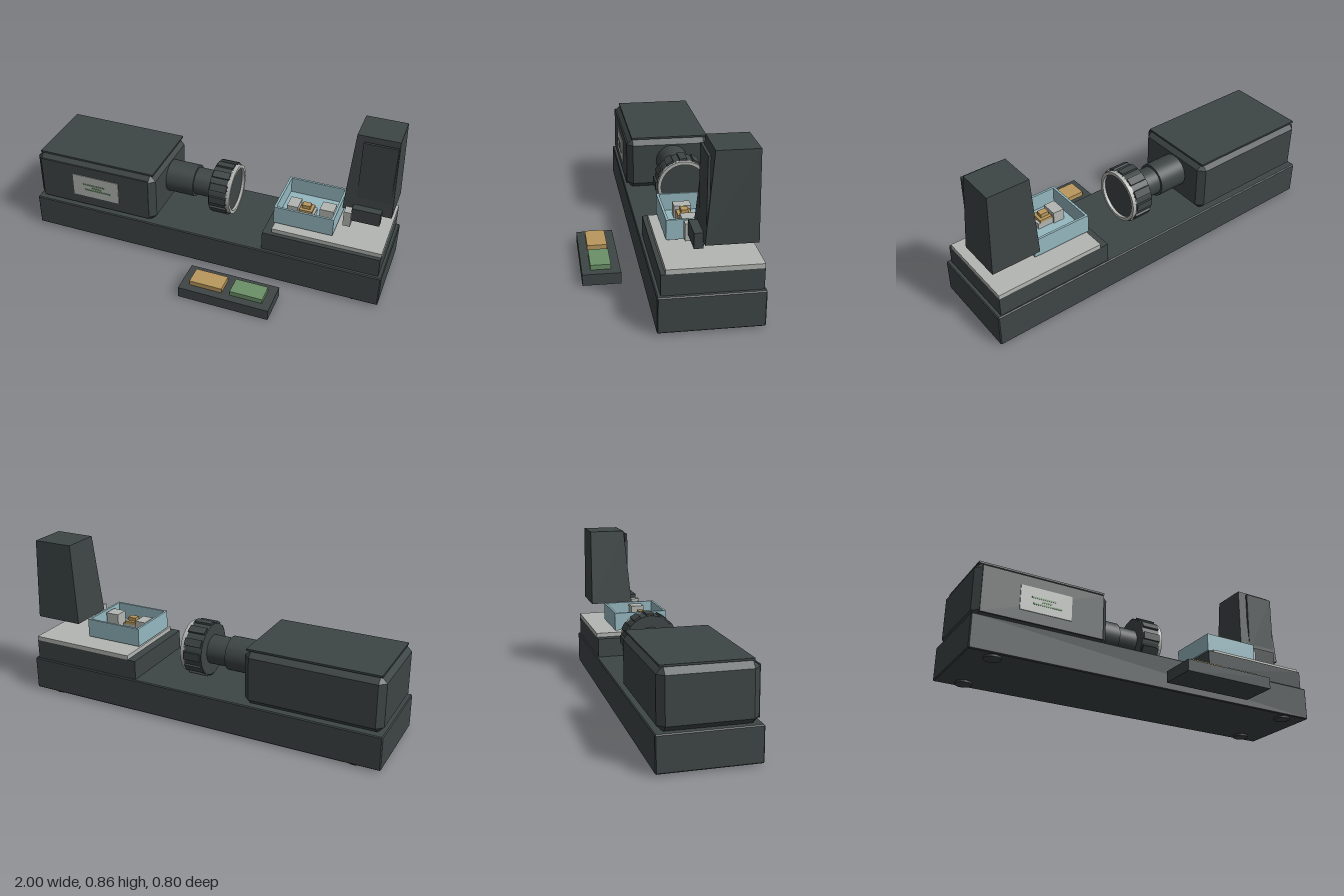
import * as THREE from 'three';
import { ConvexGeometry } from 'three/addons/geometries/ConvexGeometry.js';

const paint = (name, color) => {
  const m = new THREE.MeshStandardMaterial({ color });
  m.name = name;
  return m;
};

export function createModel() {
  const dark = paint('charcoal', 0x3e4545);
  const light = paint('light grey', 0xb3b6b2);
  const blue = paint('pale blue', 0x95b8c0);
  const orange = paint('amber', 0xb9985d);
  const green = paint('green', 0x6b9168);
  const root = new THREE.Group();
  root.name = 'benchInstrument';

  const add = (name, geo, mat, parent = root) => {
    const mesh = new THREE.Mesh(geo, mat);
    mesh.name = name;
    parent.add(mesh);
    return mesh;
  };
  const group = (name) => {
    const g = new THREE.Group();
    g.name = name;
    root.add(g);
    return g;
  };
  // Box given by its extents on each axis
  const box = (name, mat, [x0, x1], [y0, y1], [z0, z1], parent) => {
    const geo = new THREE.BoxGeometry(x1 - x0, y1 - y0, z1 - z0);
    geo.translate((x0 + x1) / 2, (y0 + y1) / 2, (z0 + z1) / 2);
    return add(name, geo, mat, parent);
  };
  // Box with all edges cut off by c
  const chamferBox = (name, mat, [x0, x1], [y0, y1], [z0, z1], c, parent) => {
    const h = [(x1 - x0) / 2, (y1 - y0) / 2, (z1 - z0) / 2];
    const pts = [];
    for (const sx of [-1, 1]) for (const sy of [-1, 1]) for (const sz of [-1, 1])
      for (let full = 0; full < 3; full++) {
        const p = [sx, sy, sz].map((s, i) => s * (h[i] - (i === full ? 0 : c)));
        pts.push(new THREE.Vector3(...p));
      }
    const geo = new ConvexGeometry(pts);
    geo.translate((x0 + x1) / 2, (y0 + y1) / 2, (z0 + z1) / 2);
    return add(name, geo, mat, parent);
  };

  // Long base on four round feet
  chamferBox('base', dark, [-1, 1], [0.01, 0.19], [-0.4, 0.1], 0.005);
  for (const x of [-0.86, 0.86]) for (const z of [-0.343, 0.043]) {
    add('foot', new THREE.CylinderGeometry(0.043, 0.043, 0.014, 24), dark).position.set(x, 0.007, z);
  }

  // Motor housing with lid, front panel and display
  const housing = group('motorHousing');
  chamferBox('housingBody', dark, [-0.99, -0.27], [0.185, 0.478], [-0.385, 0.085], 0.033, housing);
  box('housingLid', dark, [-0.97, -0.285], [0.477, 0.487], [-0.372, 0.058], housing);
  box('frontPanel', dark, [-0.957, -0.303], [0.21, 0.455], [0.08, 0.088], housing);
  box('display', light, [-0.76, -0.483], [0.267, 0.4], [0.086, 0.092], housing);
  const traces = [[-0.7, -0.57, 0.346], [-0.645, -0.59, 0.329], [-0.69, -0.535, 0.313]];
  for (const [x0, x1, y] of traces)
    box('displayLine', green, [x0, x1], [y - 0.004, y + 0.004], [0.091, 0.094], housing);

  // Spindle along x, ending in a ribbed cup wheel
  const spindle = group('spindle');
  spindle.position.set(0, 0.35, -0.17);
  const shaft = (name, x0, x1, r) => {
    const geo = new THREE.CylinderGeometry(r, r, x1 - x0, 40);
    geo.rotateZ(-Math.PI / 2).translate((x0 + x1) / 2, 0, 0);
    add(name, geo, dark, spindle);
  };
  shaft('spindleCollar', -0.29, -0.11, 0.09);
  shaft('spindleShaft', -0.11, 0.01, 0.077);
  shaft('wheelDrum', 0, 0.107, 0.138);
  for (let i = 0; i < 12; i++) {
    const geo = new THREE.BoxGeometry(0.095, 0.02, 0.04);
    geo.translate(0.054, 0.137, 0).rotateX(i * Math.PI / 6);
    add('wheelRib', geo, dark, spindle);
  }
  const rim = [[0.121, 0.1], [0.138, 0.1], [0.138, 0.123], [0.121, 0.123], [0.121, 0.1]];
  const rimGeo = new THREE.LatheGeometry(rim.map(([r, y]) => new THREE.Vector2(r, y)), 48);
  rimGeo.rotateZ(-Math.PI / 2);
  add('wheelRim', rimGeo.toNonIndexed(), light, spindle).geometry.computeVertexNormals();

  // Raised stage with light top plate
  box('stageBlock', dark, [0.35, 0.98], [0.185, 0.295], [-0.39, 0.082]);
  box('stagePlate', light, [0.395, 0.98], [0.295, 0.318], [-0.39, 0.06]);

  // Open sample tray
  const tray = group('sampleTray');
  box('trayFloor', blue, [0.39, 0.71], [0.33, 0.342], [-0.283, 0.017], tray);
  for (const x of [0.39, 0.698])
    box('traySide', blue, [x, x + 0.012], [0.33, 0.43], [-0.283, 0.017], tray);
  for (const z of [-0.283, 0.005])
    box('trayEnd', blue, [0.402, 0.698], [0.33, 0.43], [z, z + 0.012], tray);

  // Vise holding the sample inside the tray
  const vise = group('sampleVise');
  box('viseJaw', light, [0.44, 0.5], [0.342, 0.405], [-0.14, -0.055], vise);
  box('viseBed', light, [0.5, 0.588], [0.342, 0.375], [-0.132, -0.062], vise);
  box('sample', orange, [0.505, 0.575], [0.375, 0.39], [-0.132, -0.062], vise);
  box('sampleTop', orange, [0.515, 0.56], [0.39, 0.41], [-0.115, -0.08], vise);
  box('viseBlock', light, [0.615, 0.69], [0.342, 0.42], [-0.137, -0.063], vise);

  // Tapered column with front cover
  const column = group('column');
  const tower = new THREE.BoxGeometry(0.26, 0.433, 0.243);
  const pos = tower.attributes.position;
  for (let i = 0; i < pos.count; i++) {
    const top = pos.getY(i) > 0;
    const x = pos.getX(i) > 0 ? (top ? 0.968 : 0.982) : (top ? 0.75 : 0.722);
    const z = pos.getZ(i) > 0 ? (top ? -0.15 : -0.112) : (top ? -0.35 : -0.355);
    pos.setXYZ(i, x, top ? 0.858 : 0.425, z);
  }
  tower.computeVertexNormals();
  add('tower', tower, dark, column);
  box('towerCover', dark, [0.79, 0.967], [0.46, 0.835], [-0.132, -0.119], column);

  // Sample arm under the column
  box('armBar', dark, [0.78, 0.93], [0.386, 0.462], [-0.117, -0.073], column);
  box('armClamp', light, [0.742, 0.782], [0.353, 0.44], [-0.12, -0.06], column);

  // Separate control pad with two buttons
  const pad = group('controlPad');
  box('padBody', dark, [0, 0.497], [0, 0.06], [0.205, 0.4], pad);
  box('amberButton', orange, [0.047, 0.227], [0.06, 0.086], [0.252, 0.356], pad);
  box('greenButton', green, [0.272, 0.45], [0.06, 0.086], [0.252, 0.356], pad);

  return root;
}
